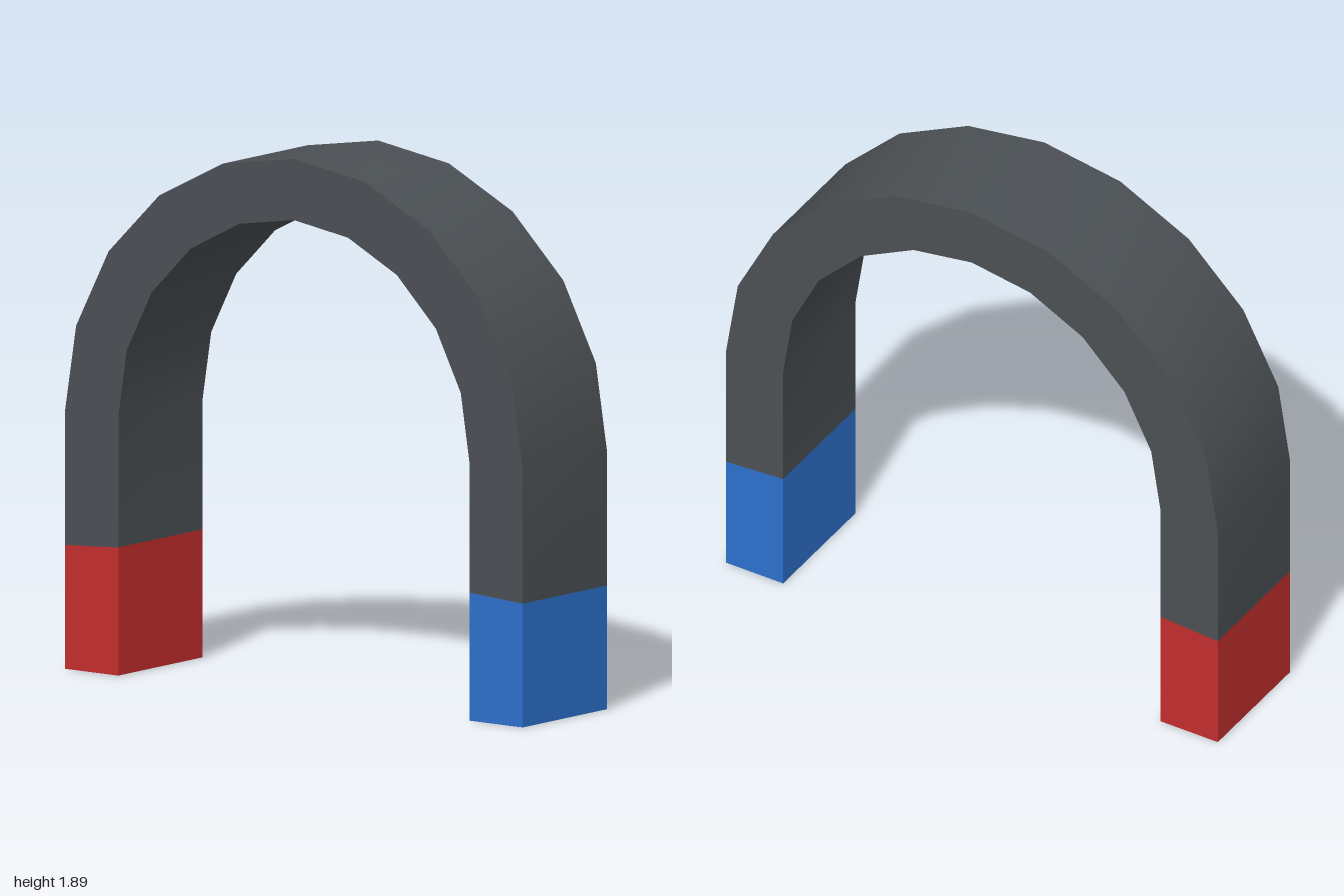
import * as THREE from 'three';
import { toCreasedNormals } from 'three/addons/utils/BufferGeometryUtils.js';

const WIDTH = 0.48;
const STEPS = 10;

// Extrude a side profile given as [z, y] points across the width
function slab(name, points, material) {
  const shape = new THREE.Shape(points.map(([z, y]) => new THREE.Vector2(z, y)));
  const geometry = new THREE.ExtrudeGeometry(shape, { depth: WIDTH, bevelEnabled: false });
  geometry.translate(0, 0, -WIDTH / 2);
  geometry.rotateY(-Math.PI / 2);
  const mesh = new THREE.Mesh(toCreasedNormals(geometry, 0.6), material);
  mesh.name = name;
  return mesh;
}

// Half ring of points from +z over the top to -z
function arc(rz, ry, cy) {
  const points = [];
  for (let i = 0; i <= STEPS; i++) {
    const a = (i / STEPS) * Math.PI;
    points.push([rz * Math.cos(a), cy + ry * Math.sin(a)]);
  }
  return points;
}

export function createModel() {
  const steel = new THREE.MeshStandardMaterial({ color: 0x4b5054 });
  const blue = new THREE.MeshStandardMaterial({ color: 0x2d70cc });
  const red = new THREE.MeshStandardMaterial({ color: 0xc22d2d });
  steel.name = 'steel grey';
  blue.name = 'pole blue';
  red.name = 'pole red';

  const outer = 1, inner = 0.767;
  const outerCut = 0.435, innerCut = 0.45;
  const group = new THREE.Group();
  group.name = 'horseshoeMagnet';

  // Steel bow with its straight legs
  group.add(slab('bow', [
    [outer, outerCut],
    ...arc(outer, 0.99, 0.905),
    [-outer, outerCut],
    [-inner, innerCut],
    ...arc(inner, 0.77, 0.91).reverse(),
    [inner, innerCut],
  ], steel));

  // Coloured pole tips with slightly slanted tops
  for (const [name, side, material] of [['frontPole', 1, blue], ['backPole', -1, red]]) {
    group.add(slab(name, [
      [side * inner, 0],
      [side * outer, 0],
      [side * outer, outerCut],
      [side * inner, innerCut],
    ], material));
  }
  return group;
}
